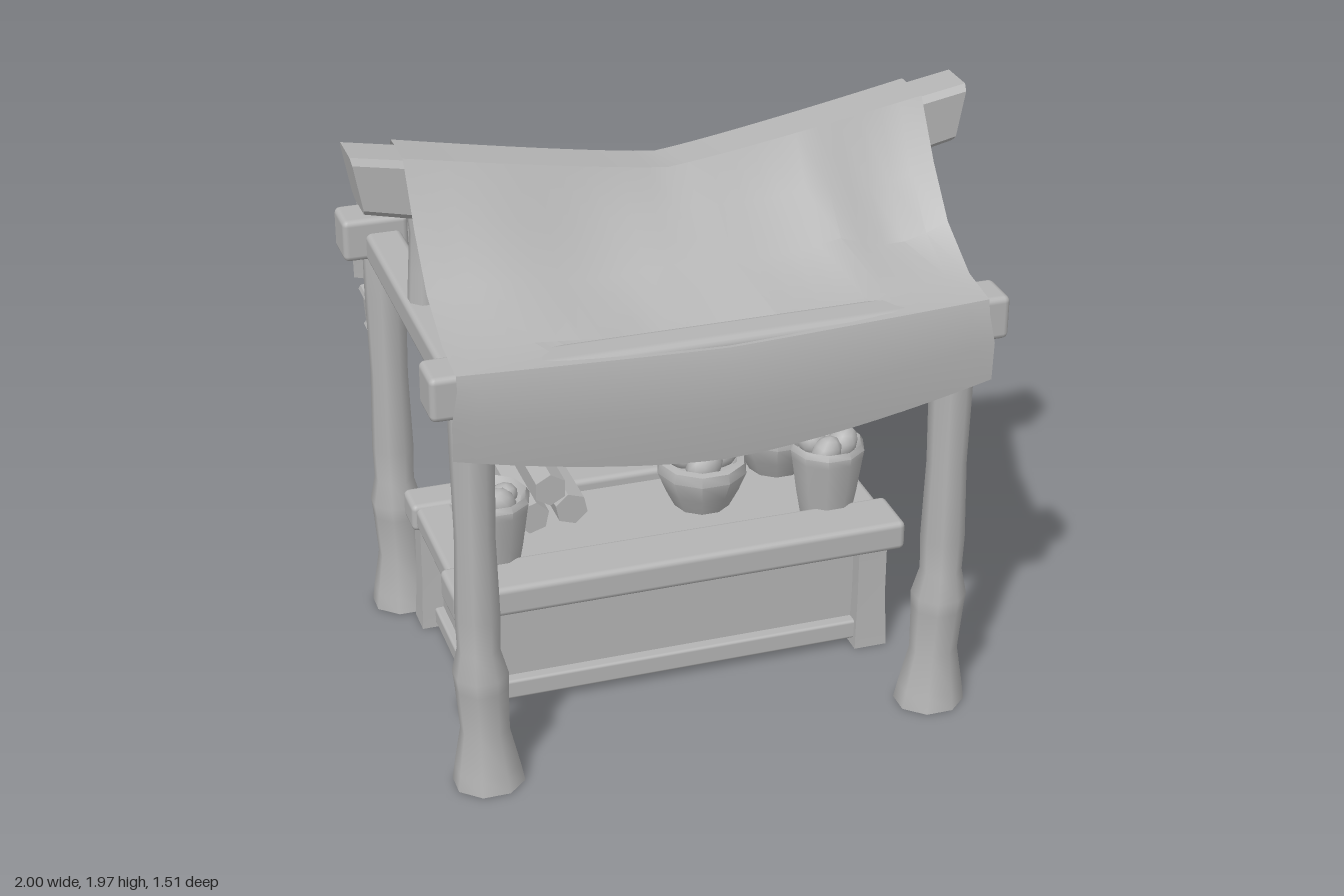
import * as THREE from 'three';
import { RoundedBoxGeometry } from 'three/addons/geometries/RoundedBoxGeometry.js';
import { toCreasedNormals } from 'three/addons/utils/BufferGeometryUtils.js';

const clay = new THREE.MeshStandardMaterial({ color: 0xb4b4b4, side: THREE.DoubleSide });
clay.name = 'grey clay';

export function createModel() {
  const root = new THREE.Group();
  root.name = 'marketStall';

  const add = (name, geo, x = 0, y = 0, z = 0, parent = root) => {
    const m = new THREE.Mesh(geo, clay);
    m.name = name;
    m.position.set(x, y, z);
    parent.add(m);
    return m;
  };
  // rounded beam given by its extents
  const beam = (name, x0, x1, y0, y1, z0, z1, r = 0.02) =>
    add(name, new RoundedBoxGeometry(x1 - x0, y1 - y0, z1 - z0, 2, r),
      (x0 + x1) / 2, (y0 + y1) / 2, (z0 + z1) / 2);
  const bend = (geo, rule) => {
    const p = geo.attributes.position, v = new THREE.Vector3();
    for (let i = 0; i < p.count; i++) {
      v.fromBufferAttribute(p, i);
      rule(v);
      p.setXYZ(i, v.x, v.y, v.z);
    }
    geo.computeVertexNormals();
    return geo;
  };
  const lathe = (pts, sides) =>
    new THREE.LatheGeometry(pts.map(([r, y]) => new THREE.Vector2(r, y)), sides, Math.PI / sides);
  const rod = (name, points, r) => add(name, new THREE.TubeGeometry(
    new THREE.CatmullRomCurve3(points.map(p => new THREE.Vector3(...p))), 14, r, 6));

  // Carved corner posts, side rails and king posts
  const postProfile = [[0, 0], [0.118, 0], [0.108, 0.06], [0.08, 0.2], [0.086, 0.36], [0.09, 0.41],
    [0.068, 0.5], [0.072, 0.62], [0.064, 0.9], [0.07, 1.2], [0.07, 1.4], [0, 1.4]];
  for (const s of [1, -1]) {
    for (const z of [0.63, -0.515]) {
      const g = bend(lathe(postProfile, 8), v => {
        if (v.y < 0.3) v.z *= 0.9;
        v.x += s * 0.02 * Math.min(1, v.y / 0.5);
      });
      add('cornerPost', toCreasedNormals(g, 0.9), s * 0.757, 0, z);
    }
    const rail = new RoundedBoxGeometry(0.12, 0.1, 1.1, 2, 0.02);
    add('sideRail', rail, s * 0.785, 1.4, 0.065);
    add('kingPost', lathe([[0.058, 1.43], [0.05, 1.55], [0.042, 1.68], [0.058, 1.84]], 8), s * 0.775, 0, 0.08);
  }

  // Eave beams with thicker end blocks
  for (const [z0, z1] of [[0.58, 0.73], [-0.6, -0.45]]) {
    beam('eaveBeam', -0.86, 0.86, 1.37, 1.495, z0 + 0.01, z1 - 0.01, 0.03);
    for (const s of [1, -1])
      beam('eaveBeamEnd', s > 0 ? 0.7 : -0.92, s > 0 ? 0.92 : -0.7, 1.355, 1.5, z0, z1, 0.02);
  }

  // Sagging ridge beam, tips cut back underneath
  const w = 0.085, c = 0.02;
  const section = new THREE.Shape([[-w, -0.19 + c], [-w + c, -0.19], [w - c, -0.19], [w, -0.19 + c],
    [w, -c], [w - c, 0], [-w + c, 0], [-w, -c]].map(p => new THREE.Vector2(...p)));
  const ridge = new THREE.ExtrudeGeometry(section, { depth: 2, steps: 12, bevelEnabled: false });
  ridge.translate(0, 0, -1).rotateY(Math.PI / 2);
  bend(ridge, v => {
    const low = -v.y / 0.19;
    const t = Math.abs(v.x);
    v.y += 1.79 + 0.18 * t;
    if (t > 0.99) v.x *= 1 - 0.035 * low;
  });
  add('ridgeBeam', toCreasedNormals(ridge, 0.6), 0, 0, 0.065);

  // Draped cloth: half profile as [z, y] at the side edge and at the middle
  const half = [
    [0.742, 1.23, 0.732, 1.09], [0.75, 1.36, 0.755, 1.27], [0.745, 1.46, 0.748, 1.42],
    [0.735, 1.505, 0.735, 1.47], [0.58, 1.525, 0.58, 1.455], [0.4, 1.625, 0.35, 1.57],
    [0.27, 1.775, 0.22, 1.69], [0.15, 1.955, 0.14, 1.815]];
  const drape = half.concat(half.slice().reverse().map(([a, b, d, e]) => [0.14 - a, b, 0.14 - d, e]));
  const cols = 24;
  const cloth = new THREE.PlaneGeometry(2, 1, cols, drape.length - 1);
  const cp = cloth.attributes.position;
  drape.forEach(([ze, ye, zm, ym], row) => {
    const fromHem = Math.min(row, drape.length - 1 - row);
    for (let i = 0; i <= cols; i++) {
      const u = (i / cols) * 2 - 1, a = Math.abs(u);
      const t = Math.pow(a, fromHem < 3 ? 1.6 : 1.15);
      // pinched folds near the left edge, shallow creases elsewhere
      let fold = 0;
      if (fromHem === 5 || fromHem === 6)
        fold = u > 0.6 ? -0.045 * Math.sin((u - 0.6) / 0.4 * Math.PI) : 0.012 * Math.cos(u * 9);
      cp.setXYZ(row * (cols + 1) + i,
        u * (fromHem < 2 ? 0.862 : 0.842),
        THREE.MathUtils.lerp(ym, ye, t) + fold,
        THREE.MathUtils.lerp(zm, ze, t));
    }
  });
  cloth.computeVertexNormals();
  add('clothCanopy', toCreasedNormals(cloth, 0.5));

  // Counter: frame of beams around a tray, on a panelled body
  beam('counterFrontBeam', -0.78, 0.78, 0.4, 0.505, 0.14, 0.335);
  beam('counterBackBeam', -0.77, 0.77, 0.4, 0.5, -0.42, -0.28);
  for (const s of [1, -1]) beam('counterSideBeam', s * 0.69 - 0.065, s * 0.69 + 0.065, 0.41, 0.49, -0.3, 0.16);
  add('counterTray', new THREE.BoxGeometry(1.3, 0.04, 0.5), 0, 0.44, -0.07);
  add('counterBody', new THREE.BoxGeometry(1.34, 0.4, 0.56), 0, 0.23, -0.06);
  for (const z of [0.23, -0.35]) {
    beam('counterFootRail', -0.66, 0.66, 0.03, 0.1, z - 0.03, z + 0.03, 0.01);
    for (const s of [1, -1]) {
      const leg = bend(new THREE.BoxGeometry(0.1, 0.41, 0.085, 1, 2, 1), v => {
        if (v.y < -0.1) { v.x *= 1.15; v.z *= 1.2; }
      });
      add('counterLeg', leg, s * 0.69, 0.205, z);
    }
  }
  for (const s of [1, -1]) beam('counterSideRail', s * 0.675 - 0.025, s * 0.675 + 0.025, 0.015, 0.075, -0.32, 0.2, 0.01);

  // Baskets and bowls filled with produce
  const tall = [[0, 0], [0.09, 0], [0.108, 0.1], [0.125, 0.22], [0.13, 0.25], [0.118, 0.27], [0.1, 0.24], [0, 0.235]];
  const bowl = [[0, 0], [0.095, 0], [0.13, 0.07], [0.158, 0.14], [0.15, 0.175], [0.125, 0.18], [0.11, 0.16], [0, 0.155]];
  const basket = (name, profile, x, z, top, size, turn) => {
    const g = new THREE.Group();
    g.name = name;
    g.position.set(x, 0.455, z);
    add('vessel', toCreasedNormals(lathe(profile, 10), 0.7), 0, 0, 0, g);
    for (let i = 0; i < 4; i++) {
      const a = turn + i * Math.PI / 2, r = size * 0.95;
      const fruit = add('produce', new THREE.IcosahedronGeometry(size, 1),
        Math.cos(a) * r, top - (i % 2) * 0.015, Math.sin(a) * r, g);
      fruit.scale.set(1.1, 0.85, 0.9);
      fruit.rotation.set(a, a * 2, 0.4);
    }
    root.add(g);
  };
  basket('leftBasket', tall, 0.585, 0.085, 0.265, 0.055, 0.4);
  basket('rightBasket', tall, -0.585, 0.085, 0.25, 0.052, 1.1);
  basket('middleBowl', bowl, 0.2, -0.09, 0.195, 0.065, 0.2);
  basket('backBowl', bowl, 0.53, -0.255, 0.19, 0.062, 0.8);

  // Stacked rolls lying front to back
  for (const [x, y, z] of [[-0.42, 0.545, -0.2], [-0.28, 0.545, -0.22], [-0.355, 0.635, -0.21]]) {
    const roll = new THREE.CylinderGeometry(0.058, 0.058, 0.38, 6).rotateX(Math.PI / 2);
    add('roll', toCreasedNormals(roll, 0.5), x, y, z).rotation.z = x * 3;
  }

  // Lantern on a curled bracket
  const lx = -0.77;
  rod('bracketArm', [[lx, 1.27, -0.54], [lx, 1.27, -0.68], [lx, 1.265, -0.74], [lx, 1.225, -0.745], [lx, 1.215, -0.715]], 0.011);
  rod('bracketBrace', [[lx, 1.13, -0.54], [lx, 1.17, -0.62], [lx, 1.225, -0.69], [lx, 1.215, -0.72]], 0.011);
  rod('lanternHook', [[lx, 1.22, -0.703], [lx, 1.185, -0.703], [lx, 1.145, -0.703]], 0.008);
  const body = lathe([[0, 0.93], [0.014, 0.94], [0.022, 0.965], [0.056, 0.985], [0.046, 1.0], [0.056, 1.105],
    [0.07, 1.115], [0.062, 1.13], [0.02, 1.15], [0, 1.158]], 4);
  add('lantern', toCreasedNormals(body, 0.4), lx, 0, -0.703);

  return root;
}
